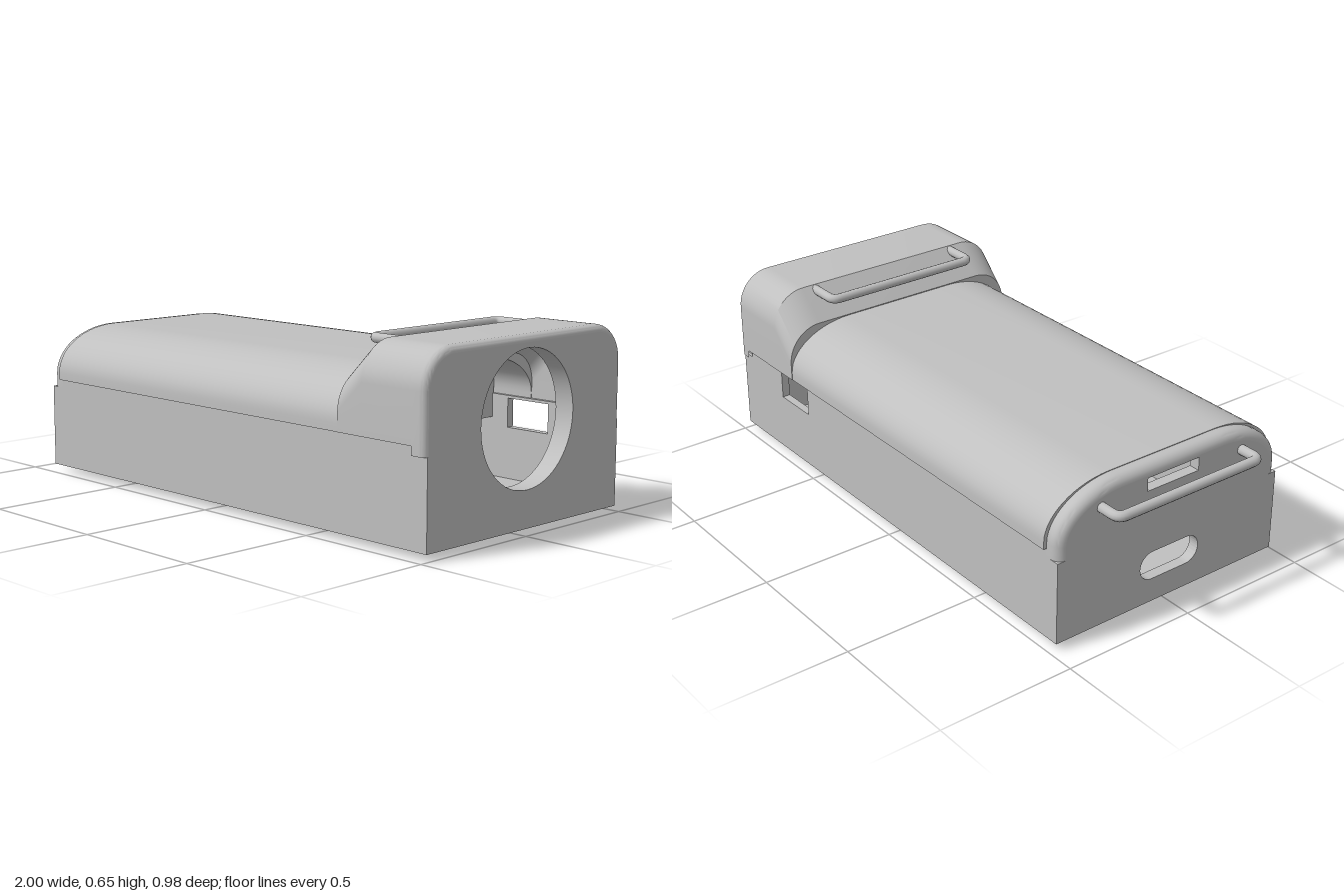
import * as THREE from 'three';
import { toCreasedNormals } from 'three/addons/utils/BufferGeometryUtils.js';

const V2 = (x, y) => new THREE.Vector2(x, y);

// Arched cross-section in (z, y), from the +z foot over the top to the -z foot
function arch({ w, y0, top, rx, ry }, n = 14) {
  const half = [V2(w, y0)];
  for (let i = 0; i <= n; i++) {
    const a = (i / n) * Math.PI / 2;
    half.push(V2(w - rx + rx * Math.cos(a), top - ry + ry * Math.sin(a)));
  }
  return [...half, ...half.slice().reverse().map(p => V2(-p.x, p.y))];
}

// Skin through arches placed along x
function loft(sections) {
  const pos = [], idx = [];
  const rows = sections.map(s => arch(s));
  const n = rows[0].length;
  rows.forEach((row, i) => row.forEach(p => pos.push(sections[i].x, p.y, p.x)));
  for (let i = 0; i < rows.length - 1; i++) {
    for (let j = 0; j < n - 1; j++) {
      const a = i * n + j, b = a + 1, c = a + n, d = c + 1;
      idx.push(a, c, b, c, d, b);
    }
  }
  const g = new THREE.BufferGeometry();
  g.setAttribute('position', new THREE.Float32BufferAttribute(pos, 3));
  g.setIndex(idx);
  return toCreasedNormals(g, 0.5);
}

const extrude = (shape, depth) => toCreasedNormals(
  new THREE.ExtrudeGeometry(shape, { depth, bevelEnabled: false, curveSegments: 32 }), 0.5);

// Extrude a (z, y) shape along +x, starting at x
const extrudeX = (shape, x, depth) => extrude(shape, depth).rotateY(Math.PI / 2).translate(x, 0, 0);

const ring = (outer, inner) => new THREE.Shape([...arch(outer), ...arch(inner).reverse()]);
const rectPath = (x0, x1, y0, y1) => new THREE.Path([V2(x0, y0), V2(x1, y0), V2(x1, y1), V2(x0, y1)]);
const circlePath = (x, y, r) => new THREE.Path().absarc(x, y, r, 0, Math.PI * 2, true);

// End wall outline: the tray end with the arched cover end above it
function endShape(section) {
  const top = arch(section);
  return new THREE.Shape([V2(-0.475, 0.025), V2(0.475, 0.025), V2(0.475, 0.325),
    ...top, V2(-0.475, 0.325)]);
}

// Sections that round an arch over into an end wall
function roundedEnd(s, xEnd, sign, r) {
  const out = [];
  for (let i = 0; i <= 6; i++) {
    const a = (i / 6) * Math.PI / 2, inset = r * (1 - Math.cos(a));
    out.push({ ...s, x: xEnd - sign * r * (1 - Math.sin(a)), w: s.w - inset, top: s.top - inset,
      rx: s.rx - inset, ry: s.ry - inset });
  }
  return out;
}

// U-shaped rod lying flat, with rounded corners
function loopRod(xRoot, xBar, y, halfZ, r) {
  const P = (x, z) => new THREE.Vector3(x, y, z), c = 0.03, k = Math.sign(xRoot - xBar) * c;
  const path = new THREE.CurvePath();
  path.add(new THREE.LineCurve3(P(xRoot, halfZ), P(xBar + k, halfZ)));
  path.add(new THREE.QuadraticBezierCurve3(P(xBar + k, halfZ), P(xBar, halfZ), P(xBar, halfZ - c)));
  path.add(new THREE.LineCurve3(P(xBar, halfZ - c), P(xBar, c - halfZ)));
  path.add(new THREE.QuadraticBezierCurve3(P(xBar, c - halfZ), P(xBar, -halfZ), P(xBar + k, -halfZ)));
  path.add(new THREE.LineCurve3(P(xBar + k, -halfZ), P(xRoot, -halfZ)));
  return new THREE.TubeGeometry(path, 120, r, 12);
}

export function createModel() {
  const model = new THREE.Group();
  const grey = new THREE.MeshStandardMaterial({ color: 0xc0c0c0, side: THREE.DoubleSide });
  grey.name = 'plain grey';
  const add = (name, geometry) => {
    const m = new THREE.Mesh(geometry, grey);
    m.name = name;
    model.add(m);
  };

  // Tray floor with drill holes, a square hole and an H-shaped slot
  const floor = new THREE.Shape([V2(-0.9, -0.475), V2(1, -0.475), V2(1, 0.475), V2(-0.9, 0.475)]);
  for (const [x, z, r] of [[-0.78, -0.36, 0.025], [-0.78, 0.36, 0.025],
    [-0.655, -0.225, 0.014], [-0.763, -0.225, 0.014]]) floor.holes.push(circlePath(x, z, r));
  floor.holes.push(rectPath(0.795, 0.875, 0.3, 0.38));
  const quarter = [V2(0.008, 0.157), V2(0.27, 0.157), V2(0.27, 0.173)];
  const mirror = (pts, sx, sy) => pts.map(p => V2(0.29 + sx * p.x, sy * p.y));
  floor.holes.push(new THREE.Path([
    ...mirror(quarter, 1, 1), ...mirror(quarter, -1, 1).reverse(),
    ...mirror(quarter, -1, -1), ...mirror(quarter, 1, -1).reverse()]));
  add('trayFloor', extrude(floor, 0.03).rotateX(Math.PI / 2).translate(0, 0.055, 0));

  // Tray side walls; the rear one has a window
  for (const side of [1, -1]) {
    const wall = new THREE.Shape([V2(-0.9, 0.025), V2(1, 0.025), V2(1, 0.325), V2(0.945, 0.325),
      V2(0.945, 0.355), V2(-0.845, 0.355), V2(-0.845, 0.325), V2(-0.9, 0.325)]);
    if (side < 0) wall.holes.push(rectPath(0.55, 0.73, 0.24, 0.345));
    add(side > 0 ? 'trayFrontWall' : 'trayBackWall',
      extrude(wall, 0.03).translate(0, 0, side > 0 ? 0.445 : -0.475));
  }

  // Wedge feet
  for (const s of [1, -1]) {
    const tri = new THREE.Shape([V2(0.29 + s * 0.065, -0.075), V2(0.29 + s * 0.065, 0.075),
      V2(0.29 + s * 0.197, 0)]);
    add('wedgeFoot', extrude(tri, 0.027).rotateX(Math.PI / 2).translate(0, 0.027, 0));
  }

  // Long arched lid
  const lid = { w: 0.487, y0: 0.355, top: 0.547, rx: 0.26, ry: 0.165 };
  const lidInner = { w: 0.457, y0: 0.355, top: 0.52, rx: 0.24, ry: 0.145 };
  add('lid', extrudeX(ring(lid, lidInner), -0.845, 1.49));

  // Left end: rounded cap and a wall with a cable slot and a strap slot
  const cap = { w: 0.475, y0: 0.325, top: 0.545, rx: 0.26, ry: 0.17 };
  const capEnd = roundedEnd(cap, -0.9, -1, 0.035);
  add('leftCap', loft([...capEnd.slice().reverse(), { ...cap, x: -0.84 }]));
  const leftEnd = endShape(capEnd[6]);
  leftEnd.holes.push(rectPath(-0.11, 0.11, 0.455, 0.503));
  leftEnd.holes.push(new THREE.Path().absarc(0.075, 0.165, 0.052, -Math.PI / 2, Math.PI / 2, false)
    .absarc(-0.075, 0.165, 0.052, Math.PI / 2, Math.PI * 1.5, false));
  add('leftEndWall', extrudeX(leftEnd, -0.9, 0.04));

  // Raised head: sloped shoulder, rounded end and an inner skin
  const head = { w: 0.489, y0: 0.355, top: 0.655, rx: 0.13, ry: 0.13 };
  const low = { ...head, y0: 0.325 };
  const headEnd = roundedEnd(low, 1, 1, 0.025);
  add('head', loft([{ ...head, x: 0.63, top: 0.55 }, { ...head, x: 0.735 }, { ...head, x: 0.945 },
    { ...low, x: 0.946 }, ...headEnd]));
  const inner = { w: 0.459, y0: 0.355, top: 0.625, rx: 0.11, ry: 0.11 };
  add('headInnerSkin', loft([{ ...inner, x: 0.64, top: 0.52 }, { ...inner, x: 0.745 }, { ...inner, x: 0.95 }]));
  add('headCollar', extrudeX(ring({ ...head, top: 0.55 }, lidInner), 0.63, 0.015));

  // Right end wall with the large round opening
  const rightEnd = endShape(headEnd[6]);
  rightEnd.holes.push(circlePath(0, 0.383, 0.23));
  add('rightEndWall', extrudeX(rightEnd, 0.93, 0.07));

  // Bracket inside, behind the rear window
  add('innerBracket', new THREE.BoxGeometry(0.08, 0.145, 0.25).translate(0.44, 0.342, -0.325));

  // Strap loops
  add('leftStrapLoop', loopRod(-0.88, -0.982, 0.467, 0.302, 0.018));
  add('headStrapLoop', loopRod(0.75, 0.607, 0.637, 0.308, 0.017));

  return model;
}
